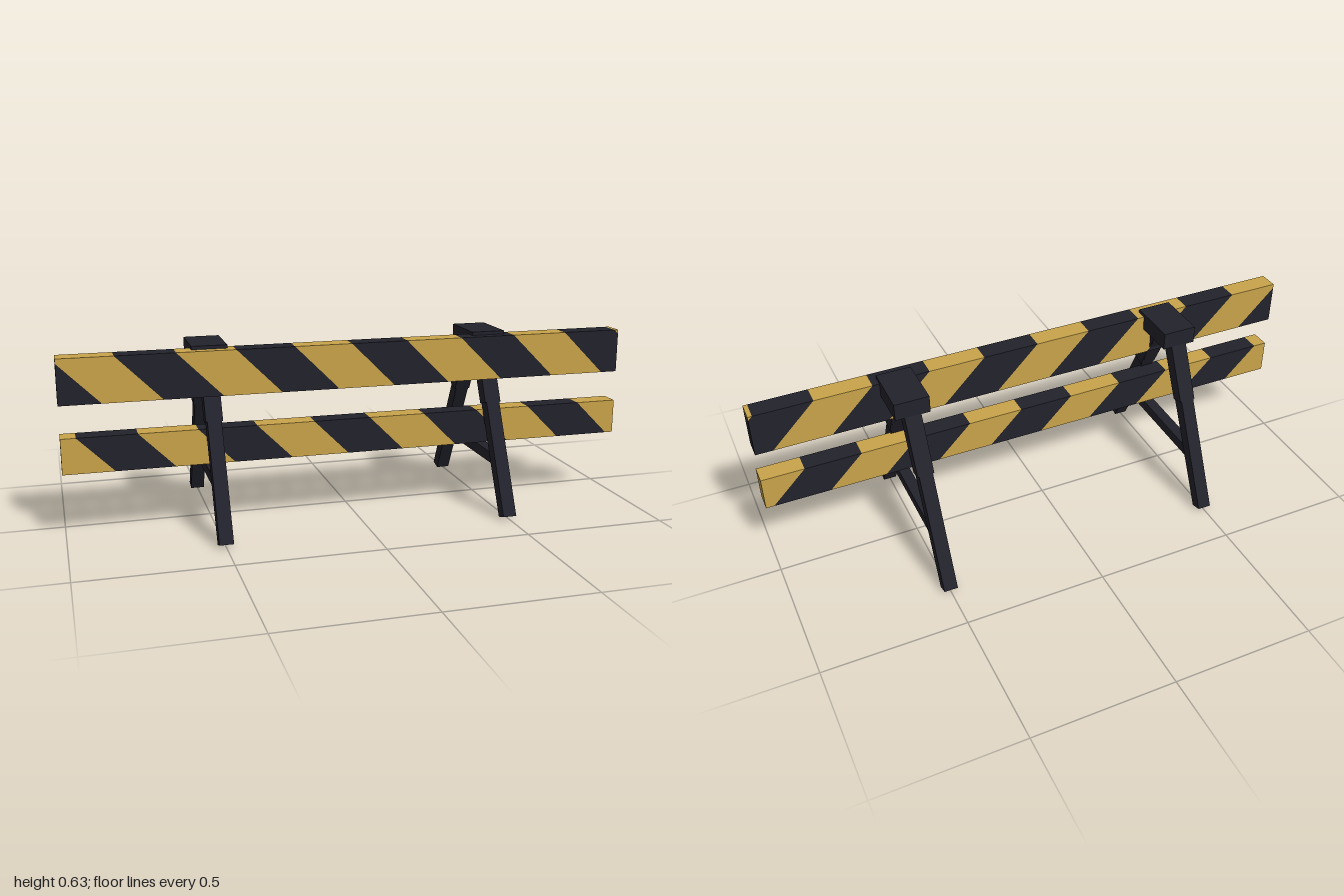
import * as THREE from 'three';

const dark = new THREE.MeshStandardMaterial({ color: 0x22222c });
dark.name = 'dark paint';
const yellow = new THREE.MeshStandardMaterial({ color: 0xc9a44a });
yellow.name = 'yellow paint';

const BAND = 0.2; // stripe width measured along x
const HALF = 1; // half length of a plank

function prism(points, depth) {
  const shape = new THREE.Shape(points.map(([x, y]) => new THREE.Vector2(x, y)));
  const geometry = new THREE.ExtrudeGeometry(shape, { depth, bevelEnabled: false });
  return geometry.translate(0, 0, -depth / 2);
}

function box(name, w, h, d, y, z) {
  const mesh = new THREE.Mesh(new THREE.BoxGeometry(w, h, d), dark);
  mesh.name = name;
  mesh.position.set(0, y, z);
  return mesh;
}

// Keeps the side of a polygon where sign * (x + y - c) >= 0
function clip(points, c, sign) {
  const out = [];
  points.forEach((a, i) => {
    const b = points[(i + 1) % points.length];
    const da = sign * (a[0] + a[1] - c);
    const db = sign * (b[0] + b[1] - c);
    if (da >= 0) out.push(a);
    if (da * db < 0) {
      const t = da / (da - db);
      out.push([a[0] + (b[0] - a[0]) * t, a[1] + (b[1] - a[1]) * t]);
    }
  });
  return out;
}

// Plank made of alternating 45 degree stripe blocks
function plank(name, bottom, top) {
  const group = new THREE.Group();
  group.name = name;
  const rect = [[-HALF, bottom], [HALF, bottom], [HALF, top], [-HALF, top]];
  const first = Math.floor((bottom - HALF) / BAND);
  const last = Math.floor((top + HALF) / BAND);
  for (let k = first; k <= last; k++) {
    const piece = clip(clip(rect, k * BAND, 1), (k + 1) * BAND, -1);
    if (piece.length < 3) continue;
    const isDark = Math.abs(k) % 2 === 1;
    const mesh = new THREE.Mesh(prism(piece, 0.07), isDark ? dark : yellow);
    mesh.name = isDark ? 'darkStripe' : 'yellowStripe';
    mesh.position.z = 0.105;
    group.add(mesh);
  }
  return group;
}

// Part of a leg drawn in the z-y plane
function legPart(name, points, width, side) {
  const mesh = new THREE.Mesh(prism(points.map(([z, y]) => [z * side, y]), width), dark);
  mesh.name = name;
  mesh.rotation.y = -Math.PI / 2;
  return mesh;
}

function trestle(x) {
  const group = new THREE.Group();
  group.name = 'trestle';
  group.position.x = x;
  for (const side of [1, -1]) {
    const name = side > 0 ? 'front' : 'back';
    group.add(legPart(name + 'Leg', [[0.31, 0], [0.35, 0.012], [0.08, 0.567], [0.023, 0.567]], 0.048, side));
    // Slightly wider sleeve at the top of the leg
    group.add(legPart(name + 'LegSleeve', [[0.124, 0.368], [0.17, 0.382], [0.08, 0.567], [0.023, 0.567]], 0.058, side));
  }
  group.add(box('cap', 0.122, 0.062, 0.187, 0.596, 0.0135));
  group.add(box('crossbar', 0.04, 0.038, 0.45, 0.189, 0));
  return group;
}

export function createModel() {
  const model = new THREE.Group();
  model.name = 'barrier';
  model.add(plank('upperPlank', 0.46, 0.615), plank('lowerPlank', 0.228, 0.35));
  for (const x of [-0.5, 0.5]) model.add(trestle(x));
  return model;
}
